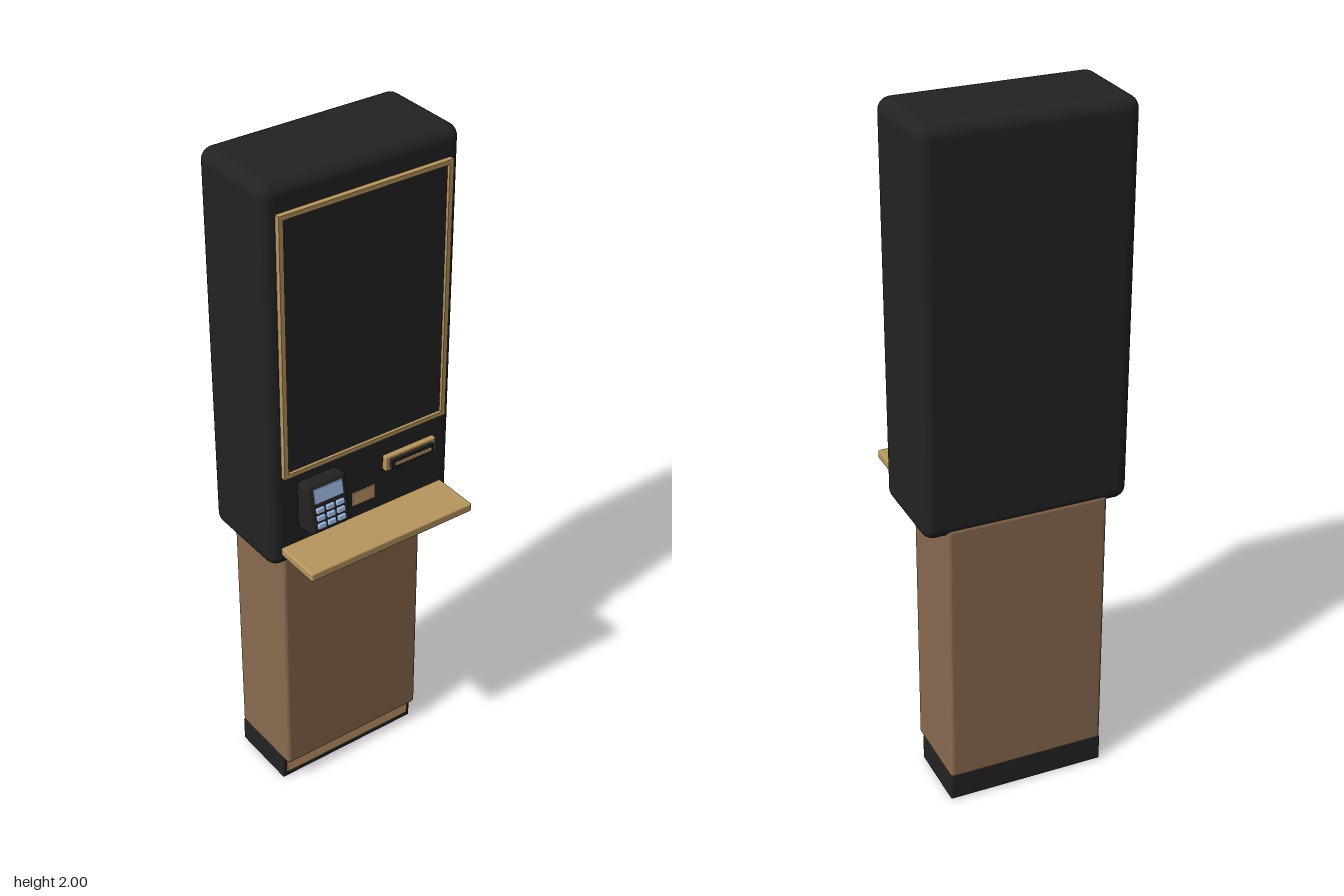
import * as THREE from 'three';
import { RoundedBoxGeometry } from 'three/addons/geometries/RoundedBoxGeometry.js';

const material = (name, color) => {
  const m = new THREE.MeshStandardMaterial({ color });
  m.name = name;
  return m;
};

export function createModel() {
  const black = material('matte black', 0x232323);
  const brown = material('brown', 0x8a6a50);
  const gold = material('gold', 0xb99760);
  const copper = material('copper', 0xcb9a6c);
  const blue = material('pale blue', 0x9db8e0);

  const kiosk = new THREE.Group();
  kiosk.name = 'kiosk';

  // Box given by its [min, max] ranges; a radius rounds its edges
  function box(name, mat, [x0, x1], [y0, y1], [z0, z1], radius = 0, parent = kiosk) {
    const size = [x1 - x0, y1 - y0, z1 - z0];
    const geometry = radius ? new RoundedBoxGeometry(...size, 4, radius) : new THREE.BoxGeometry(...size);
    const mesh = new THREE.Mesh(geometry, mat);
    mesh.name = name;
    mesh.position.set((x0 + x1) / 2, (y0 + y1) / 2, (z0 + z1) / 2);
    parent.add(mesh);
    return mesh;
  }

  // Rectangular ring facing +x, built from an outline with a hole
  function ring(name, mat, x0, depth, [y0, y1], [z0, z1], border) {
    const w = (z1 - z0) / 2, h = (y1 - y0) / 2;
    const rect = (Type, a, b) => new Type([[-a, -b], [a, -b], [a, b], [-a, b]].map(p => new THREE.Vector2(...p)));
    const shape = rect(THREE.Shape, w, h);
    shape.holes.push(rect(THREE.Path, w - border, h - border));
    const mesh = new THREE.Mesh(new THREE.ExtrudeGeometry(shape, { depth, bevelEnabled: false }), mat);
    mesh.name = name;
    mesh.rotation.y = Math.PI / 2;
    mesh.position.set(x0, (y0 + y1) / 2, (z0 + z1) / 2);
    kiosk.add(mesh);
  }

  // Plinth with a kick strip, column and cabinet
  box('plinth', black, [-0.213, 0], [0, 0.08], [-0.235, 0.235], 0.004);
  box('kickStrip', copper, [-0.002, 0.004], [0.02, 0.056], [-0.222, 0.222]);
  box('column', brown, [-0.215, 0.028], [0.075, 0.89], [-0.235, 0.235], 0.012);
  box('cabinet', black, [-0.215, 0.073], [0.865, 2], [-0.3, 0.3], 0.036);

  // Display and its trim
  box('display', black, [0.07, 0.079], [1.165, 1.915], [-0.255, 0.255]);
  ring('displayTrim', gold, 0.07, 0.018, [1.16, 1.922], [-0.263, 0.263], 0.013);

  // Shelf
  box('shelf', gold, [0.06, 0.213], [0.905, 0.931], [-0.268, 0.268], 0.005);

  // Receipt slot and card reader plate
  box('slotPlate', gold, [0.07, 0.088], [1.05, 1.096], [-0.234, -0.065], 0.003);
  box('slotRecess', black, [0.085, 0.098], [1.06, 1.086], [-0.221, -0.079]);
  box('slotLip', copper, [0.096, 0.103], [1.069, 1.077], [-0.21, -0.09]);
  box('readerPlate', copper, [0.07, 0.077], [0.971, 1.013], [-0.037, 0.037]);

  // Payment terminal, leaning back, built around its own centre
  const terminal = new THREE.Group();
  terminal.name = 'paymentTerminal';
  terminal.position.set(0.093, 1.053, 0.15);
  terminal.rotation.z = 0.17;
  kiosk.add(terminal);
  box('terminalBody', black, [-0.035, 0.035], [-0.075, 0.075], [-0.065, 0.065], 0.014, terminal);
  box('terminalScreen', blue, [0.033, 0.039], [0.017, 0.06], [-0.046, 0.046], 0, terminal);
  for (let row = 0; row < 3; row++) {
    for (let column = -1; column <= 1; column++) {
      const y = -0.05 + row * 0.023, z = column * 0.032;
      box('key', blue, [0.033, 0.043], [y - 0.008, y + 0.008], [z - 0.013, z + 0.013], 0.003, terminal);
    }
  }

  return kiosk;
}
